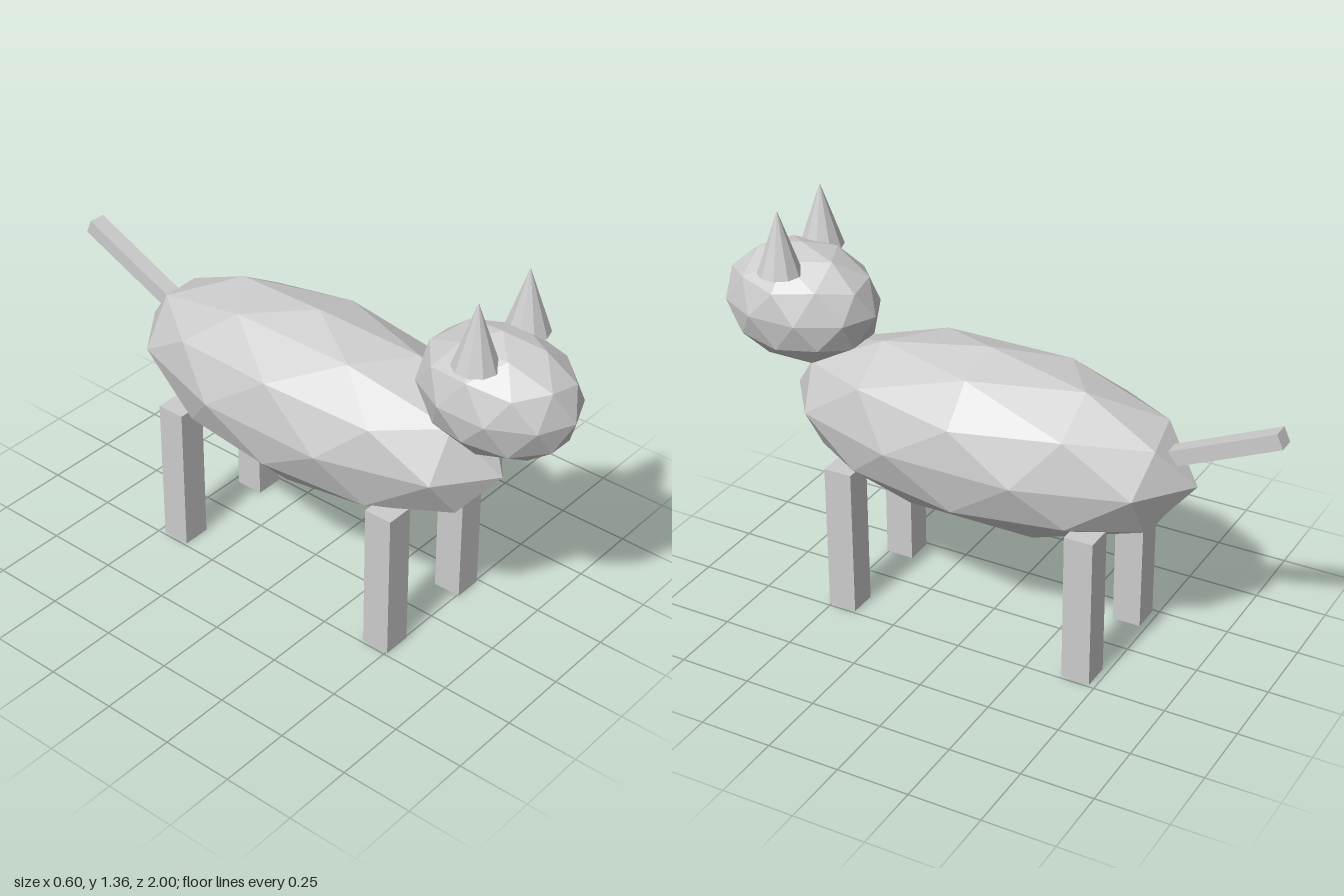
import * as THREE from 'three';

export function createModel() {
  const model = new THREE.Group();
  const grey = new THREE.MeshStandardMaterial({ color: 0xcccccc });
  grey.name = 'grey';
  grey.flatShading = true;

  const add = (name, geometry, x, y, z) => {
    const mesh = new THREE.Mesh(geometry, grey);
    mesh.name = name;
    mesh.position.set(x, y, z);
    model.add(mesh);
    return mesh;
  };

  // Faceted ellipsoid of 80 faces, with a five-fold pole pointing up
  const ellipsoid = (rx, ry, rz) => {
    const g = new THREE.IcosahedronGeometry(1, 1);
    g.rotateZ(-Math.atan(2 / (1 + Math.sqrt(5))));
    g.scale(rx, ry, rz);
    g.computeVertexNormals();
    return g;
  };

  // Body and head
  add('body', ellipsoid(0.315, 0.31, 0.735), 0, 0.685, 0.015);
  add('head', ellipsoid(0.205, 0.21, 0.28), 0, 0.998, 0.72);

  // Ears and legs, mirrored left and right
  for (const [side, s] of [['left', 1], ['right', -1]]) {
    add(side + 'Ear', new THREE.ConeGeometry(0.075, 0.217, 10), s * 0.127, 1.256, 0.72);
    add(side + 'FrontLeg', new THREE.BoxGeometry(0.1, 0.53, 0.1), s * 0.19, 0.265, 0.456);
    add(side + 'BackLeg', new THREE.BoxGeometry(0.1, 0.53, 0.1), s * 0.19, 0.265, -0.428);
  }

  // Tail, sloping up and backwards
  const tail = add('tail', new THREE.BoxGeometry(0.058, 0.053, 0.4), 0, 0.852, -0.807);
  tail.rotation.x = THREE.MathUtils.degToRad(24);

  return model;
}
